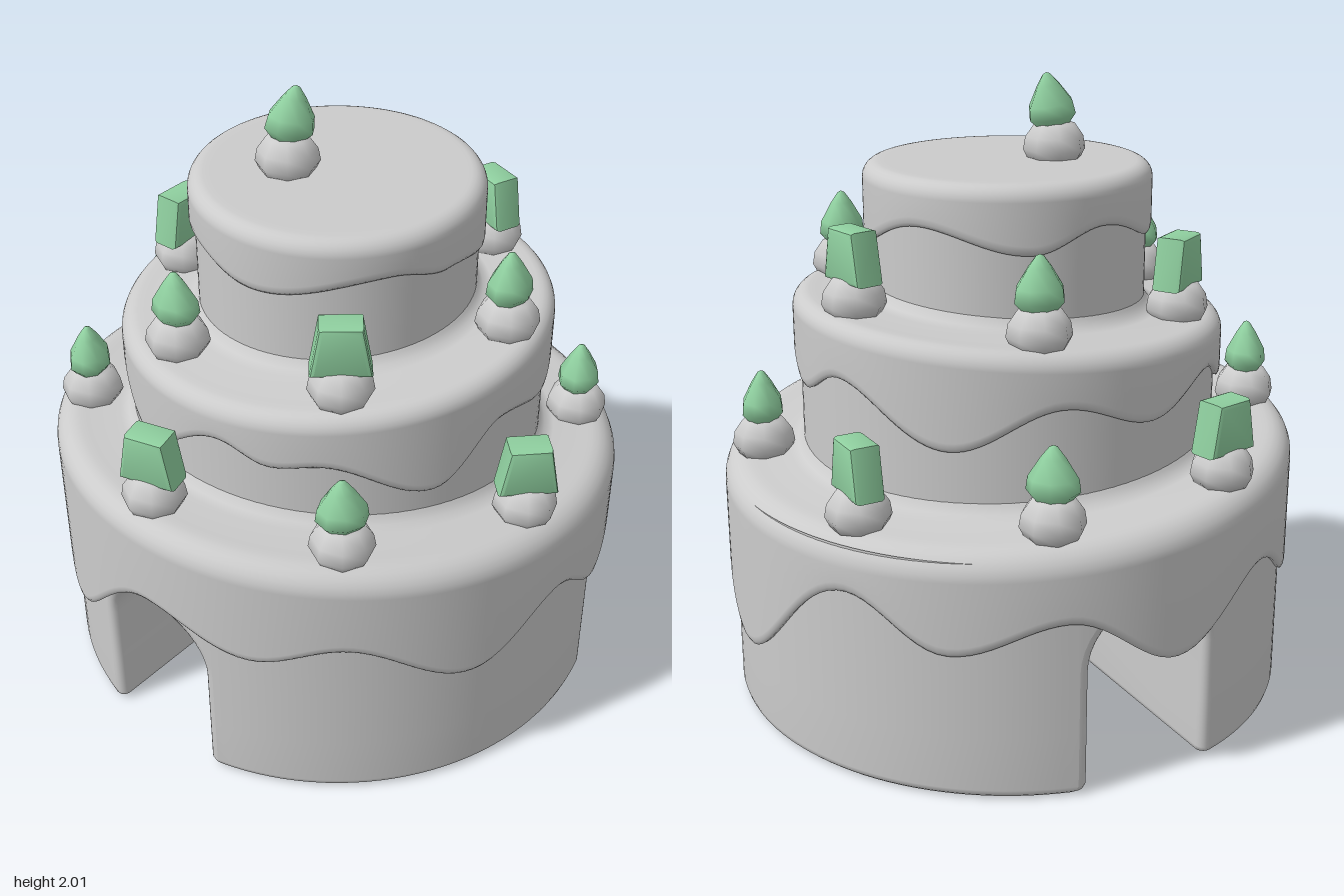
import * as THREE from 'three';
import { mergeVertices, toCreasedNormals } from 'three/addons/utils/BufferGeometryUtils.js';

const TAU = Math.PI * 2, RAD = Math.PI / 180;
const cream = new THREE.MeshStandardMaterial({ color: 0xcccccc, side: THREE.DoubleSide });
const green = new THREE.MeshStandardMaterial({ color: 0x8fcf9f });

// Surface from a grid of points: fn(i, j) -> [x, y, z]
function grid(ni, nj, fn) {
  const pos = [], idx = [];
  for (let i = 0; i <= ni; i++) for (let j = 0; j <= nj; j++) pos.push(...fn(i, j));
  for (let i = 0; i < ni; i++) for (let j = 0; j < nj; j++) {
    const a = i * (nj + 1) + j, b = a + nj + 1;
    idx.push(a, b, a + 1, b, b + 1, a + 1);
  }
  const g = new THREE.BufferGeometry();
  g.setAttribute('position', new THREE.Float32BufferAttribute(pos, 3));
  g.setIndex(idx);
  const merged = mergeVertices(g);
  merged.computeVertexNormals();
  return merged;
}

function add(parent, name, geometry, material = cream) {
  const mesh = new THREE.Mesh(geometry, material);
  mesh.name = name;
  parent.add(mesh);
  return mesh;
}

// Bottom tier: a drum with three arched passages meeting in the middle
const R = 0.91, W = 0.2, FILLET = 0.035, BEV = 0.03, SPRING = 0.4, WALL_TOP = 0.76;
const bevel = y => (y < BEV ? BEV - Math.sqrt(BEV * BEV - (BEV - y) ** 2) : 0);
const rows = [0, 0.004, 0.013, BEV, 0.2, SPRING];
const ARC = 20, STEPS = 5;

// Point of a passage: k runs over the arch outline, s along its length
function passagePoint(c, k, s) {
  const n = rows.length, th = s > 0 ? ((s - 1) / STEPS) * Math.PI / 2 : 0;
  const h = W + FILLET * (1 - Math.cos(th));
  let v, y, b = 0;
  if (k < n || k >= n + ARC - 1) {
    const left = k < n;
    y = rows[left ? k : 2 * n + ARC - 2 - k];
    b = bevel(y);
    v = (left ? -1 : 1) * (h + b);
  } else {
    const a = ((k - n + 1) / ARC) * Math.PI;
    v = -h * Math.cos(a);
    y = SPRING + h * Math.sin(a);
  }
  const u = s === 0 ? Math.abs(v) / Math.sqrt(3)
    : Math.sqrt((R - b) ** 2 - v * v) - FILLET * (1 - Math.sin(th));
  return [u * Math.cos(c) - v * Math.sin(c), y, u * Math.sin(c) + v * Math.cos(c)];
}

function bottomTier() {
  const g = new THREE.Group(), H = W + FILLET, last = 2 * rows.length + ARC - 2;
  g.name = 'bottomTier';
  const wallRows = [WALL_TOP, ...[...rows].reverse()];
  for (const deg of [11, 131, 251]) {
    const c = deg * RAD;
    add(g, 'archedPassage', grid(STEPS + 1, last, (i, j) => passagePoint(c, j, i)));
    // wall between two passages
    const N = 32;
    const wallPoint = (i, y) => {
      const r = R - bevel(y), d = Math.asin((H + bevel(y)) / r);
      const a = c + d + (i / N) * (TAU / 3 - 2 * d);
      return [r * Math.cos(a), y, r * Math.sin(a)];
    };
    add(g, 'outerWall', grid(N, wallRows.length - 1, (i, j) => wallPoint(i, wallRows[j])));
    // wall above the arch
    add(g, 'wallAboveArch', grid(ARC, 2, (i, j) => {
      const v = -H * Math.cos((i / ARC) * Math.PI);
      const low = SPRING + Math.sqrt(Math.max(0, H * H - v * v));
      const a = c + Math.asin(v / R);
      return [R * Math.cos(a), WALL_TOP + (low - WALL_TOP) * j / 2, R * Math.sin(a)];
    }));
    // underside of the block
    const outline = [];
    for (let s = 0; s <= STEPS; s++) outline.push(passagePoint(c, last, s));
    for (let i = 0; i <= N; i++) outline.push(wallPoint(i, 0));
    for (let s = STEPS; s > 0; s--) outline.push(passagePoint(c + TAU / 3, 0, s));
    const shape = new THREE.Shape(outline.map(p => new THREE.Vector2(p[0], p[2])));
    add(g, 'underside', new THREE.ShapeGeometry(shape).rotateX(Math.PI / 2));
  }
  return g;
}

// Drip height at an angle, eased between [degrees, height] keys
function dripAt(keys, deg) {
  const n = keys.length;
  for (let i = 0; i < n; i++) {
    const [a0, y0] = keys[i], [a1, y1] = keys[(i + 1) % n];
    const span = (a1 - a0 + 360) % 360, t = ((deg - a0 + 720) % 360) / span;
    if (t <= 1) return y0 + (y1 - y0) * (1 - Math.cos(t * Math.PI)) / 2;
  }
  return keys[0][1];
}

// Tiers: icing radius, body radius, radius of the tier above, tilted top, drips
const tiers = [
  { r: 0.93, body: 0.91, inner: 0.67, top: 0.855, sx: -0.055, sz: 0.062, round: 0.08, drips: [
    [9, 0.5], [25, 0.44], [43, 0.59], [64, 0.44], [90, 0.615], [108, 0.54], [130, 0.63], [161, 0.3],
    [182, 0.5], [200, 0.42], [222, 0.58], [246, 0.4], [268, 0.57], [290, 0.47], [310, 0.62], [342, 0.27]] },
  { r: 0.69, body: 0.67, inner: 0.44, top: 1.3, sx: 0.058, sz: 0, round: 0.055, from: 0.74, drips: [
    [5, 1.14], [20, 1.08], [45, 1.15], [66, 0.99], [95, 1.12], [108, 1.1], [122, 1.15], [150, 0.99],
    [178, 1.13], [195, 1.05], [215, 1.14], [240, 1.05], [265, 1.13], [294, 1], [327, 1.16], [347, 1.07]] },
  { r: 0.457, body: 0.44, inner: 0, top: 1.74, sx: 0, sz: 0, round: 0.05, from: 1.15, drips: [
    [0, 1.5], [45, 1.57], [70, 1.61], [125, 1.54], [160, 1.58], [200, 1.52], [240, 1.6], [270, 1.53], [315, 1.6]] },
];
const topAt = (t, x, z) => t.top + t.sx * x + t.sz * z;

function icing(t) {
  const N = 180;
  const upper = t.inner ? [[t.inner - 0.01, 0.05], [t.inner + 0.005, 0.03], [t.inner + 0.02, 0.01], [t.inner + 0.05, 0]] : [[0, 0]];
  upper.push([t.r - t.round - 0.02, 0]);
  for (let k = 0; k <= 6; k++) {
    const a = (k / 6) * Math.PI / 2;
    upper.push([t.r - t.round * (1 - Math.sin(a)), -t.round * (1 - Math.cos(a))]);
  }
  const lower = [[t.r, 0.03], [t.r - 0.003, 0.012], [t.r - 0.01, 0], [t.body - 0.01, 0.004]];
  return grid(N, upper.length + lower.length - 1, (i, j) => {
    const a = (i / N) * TAU, up = j < upper.length;
    const [r, dy] = up ? upper[j] : lower[j - upper.length];
    const x = r * Math.cos(a), z = r * Math.sin(a);
    return [x, dy + (up ? topAt(t, x, z) : dripAt(t.drips, i * 360 / N)), z];
  });
}

// Decorations: a cream dollop carrying a fruit drop or a jelly slab
const lathe = (pts, n) => new THREE.LatheGeometry(pts.map(p => new THREE.Vector2(...p)), n);
const dollopGeo = lathe([[0, 0], [0.082, 0], [0.1, 0.035], [0.093, 0.075], [0.065, 0.115], [0, 0.135]], 8);
const dropGeo = lathe([[0, 0], [0.045, 0.005], [0.075, 0.04], [0.07, 0.08], [0.035, 0.14], [0.012, 0.172], [0, 0.178]], 8);
dropGeo.scale(1.07, 1, 0.9);
const slabShape = new THREE.Shape([[-0.077, 0.012], [0.077, 0.012], [0.052, 0.148], [-0.052, 0.148]].map(p => new THREE.Vector2(...p)));
const slabGeo = toCreasedNormals(new THREE.ExtrudeGeometry(slabShape, {
  depth: 0.07, bevelThickness: 0.014, bevelSize: 0.014, bevelSegments: 2 }).translate(0, 0, -0.035), 0.6);

// tier, x, z, kind, turn in degrees
const decorations = [
  [0, 0, -0.8, 'drop', -20], [0, 0.8, 0, 'drop', 70], [0, -0.81, 0, 'drop', 80], [0, 0, 0.8, 'drop', 10],
  [0, -0.56, -0.59, 'slab', 30], [0, 0.54, -0.6, 'slab', -70], [0, -0.56, 0.58, 'slab', -25], [0, 0.56, 0.57, 'slab', 5],
  [1, 0, -0.57, 'drop', 15], [1, -0.49, 0.27, 'drop', -45], [1, 0.51, 0.27, 'drop', 50],
  [1, -0.5, -0.24, 'slab', 50], [1, 0.51, -0.24, 'slab', -60], [1, 0, 0.57, 'slab', 0],
  [2, -0.15, 0, 'drop', 20],
];

export function createModel() {
  const model = new THREE.Group();
  model.name = 'tieredCake';
  model.add(bottomTier());
  tiers.forEach((t, i) => {
    const level = ['bottom', 'middle', 'top'][i];
    add(model, level + 'Icing', icing(t));
    if (t.from) {
      const h = t.top - 0.1 - t.from;
      add(model, level + 'Tier', new THREE.CylinderGeometry(t.body, t.body, h, 96).translate(0, t.from + h / 2, 0));
    }
  });
  for (const [level, x, z, kind, turn] of decorations) {
    const d = new THREE.Group();
    d.name = kind + 'Decoration';
    d.position.set(x, topAt(tiers[level], x, z) - 0.01, z);
    add(d, 'creamDollop', dollopGeo);
    const topping = add(d, kind === 'drop' ? 'fruitDrop' : 'jellySlab', kind === 'drop' ? dropGeo : slabGeo, green);
    topping.position.y = kind === 'drop' ? 0.1 : 0.105;
    topping.rotation.y = turn * RAD;
    if (level === 2) topping.rotation.z = -0.18;
    model.add(d);
  }
  return model;
}
